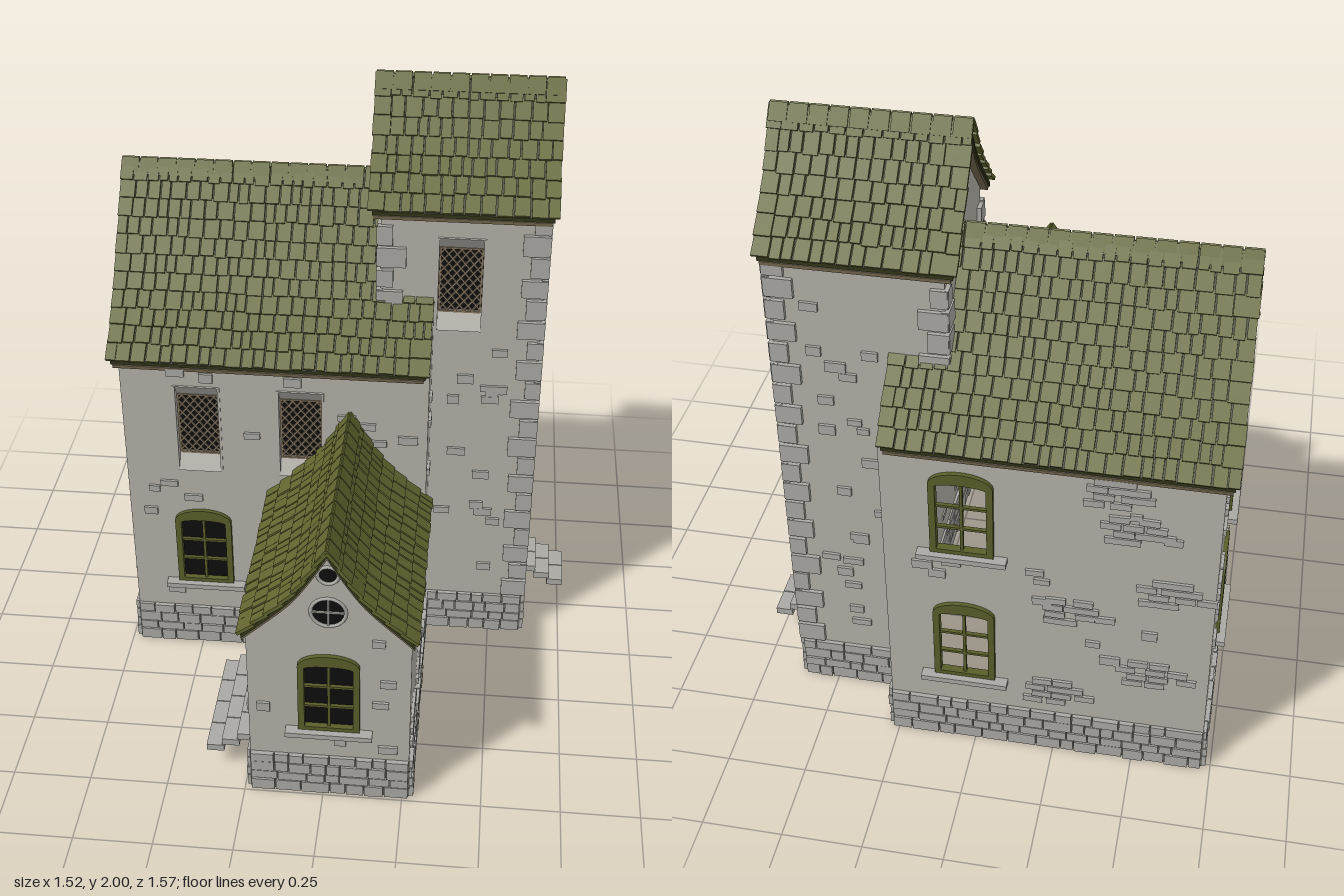
import * as THREE from 'three';
import { mergeGeometries } from 'three/addons/utils/BufferGeometryUtils.js';

const mat = (name, color, side = THREE.FrontSide) => {
  const m = new THREE.MeshStandardMaterial({ color, side });
  m.name = name;
  return m;
};

export function createModel() {
  const D = THREE.DoubleSide;
  const M = {
    wall: mat('plaster', 0xb3b0a8, D), stone: mat('stone', 0xaaa9a4), mortar: mat('mortar', 0x66645e, D),
    tile: mat('mossy tile', 0x62652f), under: mat('dark moss', 0x35371a), frame: mat('green frame', 0x5a5e2a),
    glass: mat('dark glass', 0x0d0d0d, D), lattice: mat('lattice', 0x83765f), wood: mat('wood', 0x75694f),
    iron: mat('iron', 0x151515),
  };
  let seed = 7;
  const rnd = (a = 0, b = 1) => {
    seed = (seed * 16807) % 2147483647;
    return a + (b - a) * seed / 2147483647;
  };
  const model = new THREE.Group();
  model.name = 'stoneHouse';
  const add = (parent, name, geo, m) => {
    const mesh = new THREE.Mesh(geo, m);
    mesh.name = name;
    parent.add(mesh);
    return mesh;
  };
  const box = (w, h, d, x, y, z) => new THREE.BoxGeometry(w, h, d).translate(x, y, z);
  const poly = pts => new THREE.Shape(pts.map(p => new THREE.Vector2(...p)));
  const rect = (x, y, w, h) => poly([[x - w / 2, y], [x + w / 2, y], [x + w / 2, y + h], [x - w / 2, y + h]]);
  const arch = (x, y, w, h, rise) => {
    const s = new THREE.Shape();
    s.moveTo(x - w / 2, y).lineTo(x + w / 2, y).lineTo(x + w / 2, y + h - rise);
    s.absellipse(x, y + h - rise, w / 2, rise, 0, Math.PI, false, 0);
    return s.lineTo(x - w / 2, y);
  };
  const disc = (x, y, r) => new THREE.Shape().absarc(x, y, r, 0, Math.PI * 2, false);
  const plate = (shape, z0, z1) =>
    new THREE.ExtrudeGeometry(shape, { depth: z1 - z0, bevelEnabled: false, curveSegments: 10 }).translate(0, 0, z0);

  // One outer face of the house: local x along it, y up, z outwards
  const makeFace = (name, turn, dist, outlines) => {
    const g = new THREE.Group();
    g.name = name;
    g.rotation.y = turn * Math.PI / 2;
    g.position.set(dist * Math.round(Math.sin(g.rotation.y)), 0, dist * Math.round(Math.cos(g.rotation.y)));
    model.add(g);
    return { g, shapes: outlines.map(poly), avoid: [], bricks: [] };
  };
  const cut = (f, hole, x, y, w, h) => {
    f.shapes[0].holes.push(hole);
    f.avoid.push([x - w / 2 - 0.04, x + w / 2 + 0.04, y - 0.03, y + h + 0.03]);
  };
  const brick = (f, x, y, w, h, d = 0.014) =>
    f.bricks.push(new THREE.BoxGeometry(w, h, d).rotateZ(rnd(-0.03, 0.03)).translate(x, y, 0.002));

  // Rough stone base course
  const plinth = (f, x0, x1) => {
    add(f.g, 'plinthMortar', box(x1 - x0, 0.155, 0.006, (x0 + x1) / 2, 0.0775, 0), M.mortar);
    [0.045, 0.035, 0.042, 0.036].reduce((y, h) => {
      for (let x = x0; x < x1 - 0.001;) {
        let w = rnd(0.04, 0.095);
        if (x1 - x - w < 0.03) w = x1 - x;
        f.bricks.push(box(w - 0.004, h - 0.004, rnd(0.014, 0.026), x + w / 2, y + h / 2, 0.003));
        x += w;
      }
      return y + h;
    }, 0);
  };
  // Single stones showing through the plaster
  const scatter = (f, n, x0, x1, y0, y1) => {
    for (let i = 0; i < n; i++) {
      const x = rnd(x0 + 0.04, x1 - 0.04), y = rnd(y0, y1);
      if (!f.avoid.some(a => x > a[0] && x < a[1] && y > a[2] && y < a[3])) brick(f, x, y, rnd(0.035, 0.065), rnd(0.02, 0.034));
    }
  };
  const patch = (f, x, y) => {
    for (let r = 0; r < 4; r++)
      for (let c = 0; c < (r % 3 ? 3 : 2); c++)
        brick(f, x + c * 0.066 - 0.07 + rnd(-0.015, 0.015) + (r % 2) * 0.03, y + r * 0.027 - 0.04, 0.06, 0.022);
  };
  const quoins = (f, x, dir, y0, y1) => {
    for (let y = y0, i = 0; y < y1 - 0.04; y += 0.075, i++) {
      const w = (i % 2 ? 0.055 : 0.085) + rnd(-0.008, 0.008);
      f.bricks.push(box(w, 0.066 + rnd(-0.008, 0.004), 0.022, x - dir * (w / 2 - 0.01), y + 0.037, 0.002));
    }
  };
  const finish = f => {
    add(f.g, 'wall', new THREE.ShapeGeometry(f.shapes, 10), M.wall);
    if (f.bricks.length) add(f.g, 'stones', mergeGeometries(f.bricks), M.stone);
  };

  // Arched casement with two by three panes
  const casement = (f, x, y, glazed = true) => {
    const outer = arch(x, y, 0.19, 0.31, 0.045);
    cut(f, arch(x, y, 0.18, 0.3, 0.045), x, y, 0.2, 0.31);
    outer.holes.push(arch(x, y + 0.02, 0.15, 0.25, 0.012));
    add(f.g, 'windowFrame', plate(outer, -0.012, 0.014), M.frame);
    add(f.g, 'windowBars', mergeGeometries([box(0.009, 0.26, 0.012, x, y + 0.145, 0),
      ...[0.1, 0.18].map(h => box(0.155, 0.008, 0.012, x, y + h, 0))]), M.frame);
    if (glazed) add(f.g, 'windowGlass', new THREE.ShapeGeometry(rect(x, y + 0.01, 0.165, 0.265)).translate(0, 0, -0.005), M.glass);
    add(f.g, 'windowSill', box(0.27, 0.018, 0.045, x, y - 0.003, 0.012), M.stone);
  };

  // Recessed window with a diamond lattice
  const latticeWindow = (f, x, yc) => {
    const w = 0.13, h = 0.225, z = -0.03;
    cut(f, rect(x, yc - 0.17, 0.145, 0.33), x, yc - 0.17, 0.15, 0.33);
    add(f.g, 'latticeGlass', new THREE.ShapeGeometry(rect(x, yc - h / 2, 0.15, h)).translate(0, 0, z), M.glass);
    add(f.g, 'niche', mergeGeometries([
      ...[-1, 1].map(s => box(0.008, 0.33, 0.036, x + s * 0.0725, yc - 0.005, z / 2)),
      new THREE.BoxGeometry(0.145, 0.006, 0.07).rotateX(1.06).translate(x, yc - 0.14, z / 2),
      new THREE.BoxGeometry(0.145, 0.006, 0.06).rotateX(-1.0).translate(x, yc + 0.135, z / 2)]), M.wall);
    const bars = [], slope = 1.25;
    for (let c = -0.19; c < 0.2; c += 0.033) {
      const a = Math.max(-w / 2, (-h / 2 - c) / slope), b = Math.min(w / 2, (h / 2 - c) / slope);
      if (b - a < 0.004) continue;
      for (const s of [-1, 1])
        bars.push(new THREE.BoxGeometry(Math.hypot(1, slope) * (b - a), 0.005, 0.005).rotateZ(s * Math.atan(slope))
          .translate(x + s * (a + b) / 2, yc + slope * (a + b) / 2 + c, z + 0.005));
    }
    for (const s of [-1, 1]) bars.push(box(0.006, h, 0.008, x + s * w / 2, yc, z + 0.005), box(w, 0.006, 0.008, x, yc + s * h / 2, z + 0.005));
    add(f.g, 'lattice', mergeGeometries(bars), M.lattice);
  };

  const roundWindow = (f, x, y, r, cross) => {
    cut(f, disc(x, y, r), x, y, 2 * r, 2 * r);
    add(f.g, 'roundGlass', new THREE.CircleGeometry(r + 0.003, 20).translate(x, y, -0.008), M.glass);
    add(f.g, 'roundRim', new THREE.TorusGeometry(r + 0.003, 0.006, 6, 20).translate(x, y, 0), M.stone);
    if (cross) add(f.g, 'roundBars', mergeGeometries([box(0.006, 2 * r, 0.006, x, y, 0), box(2 * r, 0.006, 0.006, x, y, 0)]), M.stone);
  };

  // Arched plank door with stone surround, iron straps and floating steps
  const door = (f, x, w, h, stepWidth) => {
    const y = 0.165, r = w / 2, spring = y + h - r;
    cut(f, arch(x, y, w, h, r), x, y, w + 0.06, h + 0.03);
    add(f.g, 'door', plate(arch(x, y, w, h, r), -0.015, 0.004), M.wood);
    for (let i = 0; i <= 10; i++) {
      const a = i * Math.PI / 10;
      f.bricks.push(new THREE.BoxGeometry(0.024, r * 0.29, 0.024).rotateZ(a).translate(x + Math.cos(a) * (r + 0.01), spring + Math.sin(a) * (r + 0.01), 0));
    }
    for (const s of [-1, 1])
      for (let q = y + 0.02; q < spring - 0.015; q += 0.042) f.bricks.push(box(0.024, 0.038, 0.022, x + s * (r + 0.01), q, 0));
    add(f.g, 'doorIron', mergeGeometries([...[0.04, 0.21].map(q => box(w * 0.9, 0.014, 0.006, x, y + q, 0.006)),
      box(0.007, 0.05, 0.014, x + r * 0.65, y + 0.15, 0.01)]), M.iron);
    const n = Math.round(stepWidth / 0.1), steps = [];
    for (let i = 0; i < 3; i++)
      for (let k = 0; k < n; k++)
        steps.push(box(stepWidth / n - 0.003, 0.024, 0.056, x + (k + 0.5 - n / 2) * stepWidth / n, 0.148 - i * 0.028, 0.024 + i * 0.05));
    add(f.g, 'steps', mergeGeometries(steps), M.stone);
  };

  // Roof profiles: distance from the ridge, height
  const mainP = [[0.42, 1.16], [0.25, 1.325], [0.12, 1.49], [0, 1.655]];
  const towerP = [[0.26, 1.65], [0.11, 1.81], [0.055, 1.885], [0, 1.98]];
  const wingP = [[0.26, 0.665], [0.11, 0.815], [0.055, 0.895], [0, 0.99]];
  const gable = (p, c, half) => {
    const side = p.map(([d, y], i) => [i ? d : half, y - (i ? 0.025 : 0.01)]);
    return [...side.map(([d, y]) => [c + d, y]), ...side.slice(0, -1).reverse().map(([d, y]) => [c - d, y])];
  };

  // Curved roof with overlapping uneven tiles, ridge along local x
  const roof = (name, p, x0, x1) => {
    const g = new THREE.Group();
    g.name = name;
    model.add(g);
    const curve = new THREE.CatmullRomCurve3(p.map(([d, y]) => new THREE.Vector3(0, y, d)));
    const rows = Math.round(curve.getLength() / 0.058), L = x1 - x0, tiles = [];
    const strip = (name, drop, thick, inset, m) => {
      const side = curve.getSpacedPoints(10).map(v => [v.z, v.y - drop]);
      const top = [...side, ...side.slice(0, -1).reverse().map(([d, y]) => [-d, y])];
      const shape = poly([...top, ...top.map(([d, y]) => [d * 0.995, y - thick]).reverse()]);
      add(g, name, plate(shape, x0 + inset, x1 - inset).rotateY(Math.PI / 2), m);
    };
    strip('roofBoards', 0.004, 0.014, 0.012, M.under);
    strip('gableBoards', 0.018, 0.012, 0.018, M.wood);
    for (const turn of [0, Math.PI])
      for (let r = 0; r < rows; r++) {
        const lo = curve.getPointAt(r / rows), hi = curve.getPointAt((r + 1) / rows);
        const len = lo.distanceTo(hi), a = Math.atan2(hi.y - lo.y, lo.z - hi.z);
        for (let x = x0; x < x1 - 0.001;) {
          let w = rnd(0.03, 0.055);
          if (x1 - x - w < 0.025) w = x1 - x;
          const edge = x === x0 || x + w >= x1 ? rnd(0, 0.008) : 0;
          const t = new THREE.BoxGeometry(w - 0.005 + edge, 0.011, len * 1.12 + rnd(-0.005, 0.007)).rotateX(a - 0.13)
            .translate(x + w / 2, (lo.y + hi.y) / 2 + 0.007 * Math.cos(a) + rnd(-0.002, 0.002), (lo.z + hi.z) / 2 + 0.007 * Math.sin(a));
          if (turn) t.scale(1, 1, 1).translate(-(x0 + x1) / 2, 0, 0).rotateY(turn).translate((x0 + x1) / 2, 0, 0);
          tiles.push(t);
          x += w;
        }
      }
    // Ridge caps
    const n = Math.round(L / 0.06), top = p[p.length - 1][1];
    for (let i = 0; i < n; i++)
      for (const s of [-1, 1])
        tiles.push(new THREE.BoxGeometry(L / n - 0.005, 0.01, 0.055).rotateX(s * 0.95).translate(x0 + (i + 0.5) * L / n, top - 0.01, s * 0.016));
    add(g, 'roofTiles', mergeGeometries(tiles), M.tile);
    return g;
  };
  roof('mainRoof', mainP, -0.755, 0.27).position.z = -0.35;
  roof('towerRoof', towerP, 0.06, 0.64).position.z = -0.345;
  const wingRoof = roof('wingRoof', wingP, -0.77, -0.05);
  wingRoof.rotation.y = Math.PI / 2;
  wingRoof.position.x = 0.02;

  // Main block
  let f = makeFace('mainFront', 0, 0.06, [[[-0.72, 0], [-0.23, 0], [-0.23, 0.68], [0.27, 0.68], [0.27, 1.155], [-0.72, 1.155]]]);
  [-0.475, -0.14].forEach(x => latticeWindow(f, x, 0.91));
  casement(f, -0.475, 0.27);
  plinth(f, -0.72, -0.23);
  scatter(f, 16, -0.72, -0.23, 0.2, 1.13);
  scatter(f, 10, -0.23, 0.27, 0.85, 1.13);
  finish(f);

  f = makeFace('mainBack', 2, 0.76, [[[-0.27, 0], [0.72, 0], [0.72, 1.155], [-0.27, 1.155]]]);
  casement(f, -0.03, 0.27, false);
  casement(f, -0.03, 0.78, false);
  plinth(f, -0.27, 0.72);
  [[0.48, 0.95], [0.3, 0.6], [0.55, 0.38], [0.42, 1.08], [0.6, 0.72], [0.25, 0.25]].forEach(p => patch(f, ...p));
  scatter(f, 16, -0.27, 0.72, 0.2, 1.12);
  finish(f);

  f = makeFace('mainLeft', -1, 0.72, [[[-0.76, 0], [0.06, 0], ...gable(mainP, -0.35, 0.41)]]);
  casement(f, -0.35, 0.27);
  casement(f, -0.35, 0.79);
  roundWindow(f, -0.35, 1.29, 0.05, true);
  plinth(f, -0.76, 0.06);
  [[-0.6, 0.65], [-0.1, 0.7], [-0.62, 1.0], [-0.08, 0.3]].forEach(p => patch(f, ...p));
  scatter(f, 12, -0.76, 0.06, 0.2, 1.12);
  finish(f);

  f = makeFace('mainRight', 1, 0.27, [[[-0.06, 0], [0.1, 0], [0.1, 1.305], [-0.06, 1.15]], [[0.59, 0], [0.76, 0], [0.76, 1.15], [0.59, 1.305]]]);
  plinth(f, -0.06, 0.1);
  plinth(f, 0.59, 0.76);
  scatter(f, 4, -0.06, 0.1, 0.2, 1.1);
  scatter(f, 6, 0.59, 0.76, 0.2, 1.1);
  finish(f);

  // Front wing
  f = makeFace('wingFront', 0, 0.73, [[[-0.23, 0], [0.27, 0], ...gable(wingP, 0.02, 0.25)]]);
  casement(f, 0.02, 0.27);
  roundWindow(f, 0.02, 0.745, 0.05, true);
  roundWindow(f, 0.02, 0.885, 0.028, false);
  plinth(f, -0.23, 0.27);
  scatter(f, 14, -0.23, 0.27, 0.2, 0.66);
  finish(f);

  f = makeFace('wingRight', 1, 0.27, [[[-0.73, 0], [-0.06, 0], [-0.06, 0.66], [-0.73, 0.66]]]);
  plinth(f, -0.73, -0.06);
  [[-0.46, 0.55], [-0.62, 0.25], [-0.3, 0.22]].forEach(p => patch(f, ...p));
  finish(f);

  f = makeFace('wingLeft', -1, 0.23, [[[0.06, 0], [0.73, 0], [0.73, 0.66], [0.06, 0.66]]]);
  door(f, 0.47, 0.27, 0.38, 0.4);
  plinth(f, 0.06, 0.73);
  scatter(f, 10, 0.06, 0.73, 0.2, 0.62);
  finish(f);

  // Tower
  f = makeFace('towerFront', 0, -0.1, [[[0.27, 0], [0.61, 0], [0.61, 1.64], [0.1, 1.64], [0.1, 1.2], [0.27, 1.2]]]);
  latticeWindow(f, 0.35, 1.4);
  plinth(f, 0.27, 0.61);
  quoins(f, 0.61, 1, 0.16, 1.64);
  quoins(f, 0.1, -1, 1.3, 1.64);
  scatter(f, 22, 0.27, 0.54, 0.2, 1.6);
  finish(f);

  f = makeFace('towerBack', 2, 0.59, [[[-0.61, 0], [-0.27, 0], [-0.27, 1.2], [-0.1, 1.2], [-0.1, 1.64], [-0.61, 1.64]]]);
  plinth(f, -0.61, -0.27);
  quoins(f, -0.61, -1, 0.16, 1.64);
  quoins(f, -0.1, 1, 1.3, 1.64);
  scatter(f, 20, -0.54, -0.27, 0.2, 1.6);
  finish(f);

  f = makeFace('towerRight', 1, 0.61, [[[0.1, 0], [0.59, 0], ...gable(towerP, 0.345, 0.245)]]);
  door(f, 0.345, 0.13, 0.305, 0.17);
  latticeWindow(f, 0.345, 0.91);
  latticeWindow(f, 0.345, 1.4);
  roundWindow(f, 0.345, 1.875, 0.03, false);
  plinth(f, 0.1, 0.59);
  quoins(f, 0.1, -1, 0.16, 1.64);
  quoins(f, 0.59, 1, 0.16, 1.64);
  scatter(f, 20, 0.19, 0.5, 0.2, 1.65);
  finish(f);

  f = makeFace('towerLeft', -1, -0.1, [[[-0.59, 1.2], [-0.1, 1.2], ...gable(towerP, -0.345, 0.245)]]);
  quoins(f, -0.59, -1, 1.3, 1.64);
  quoins(f, -0.1, 1, 1.3, 1.64);
  finish(f);

  return model;
}
